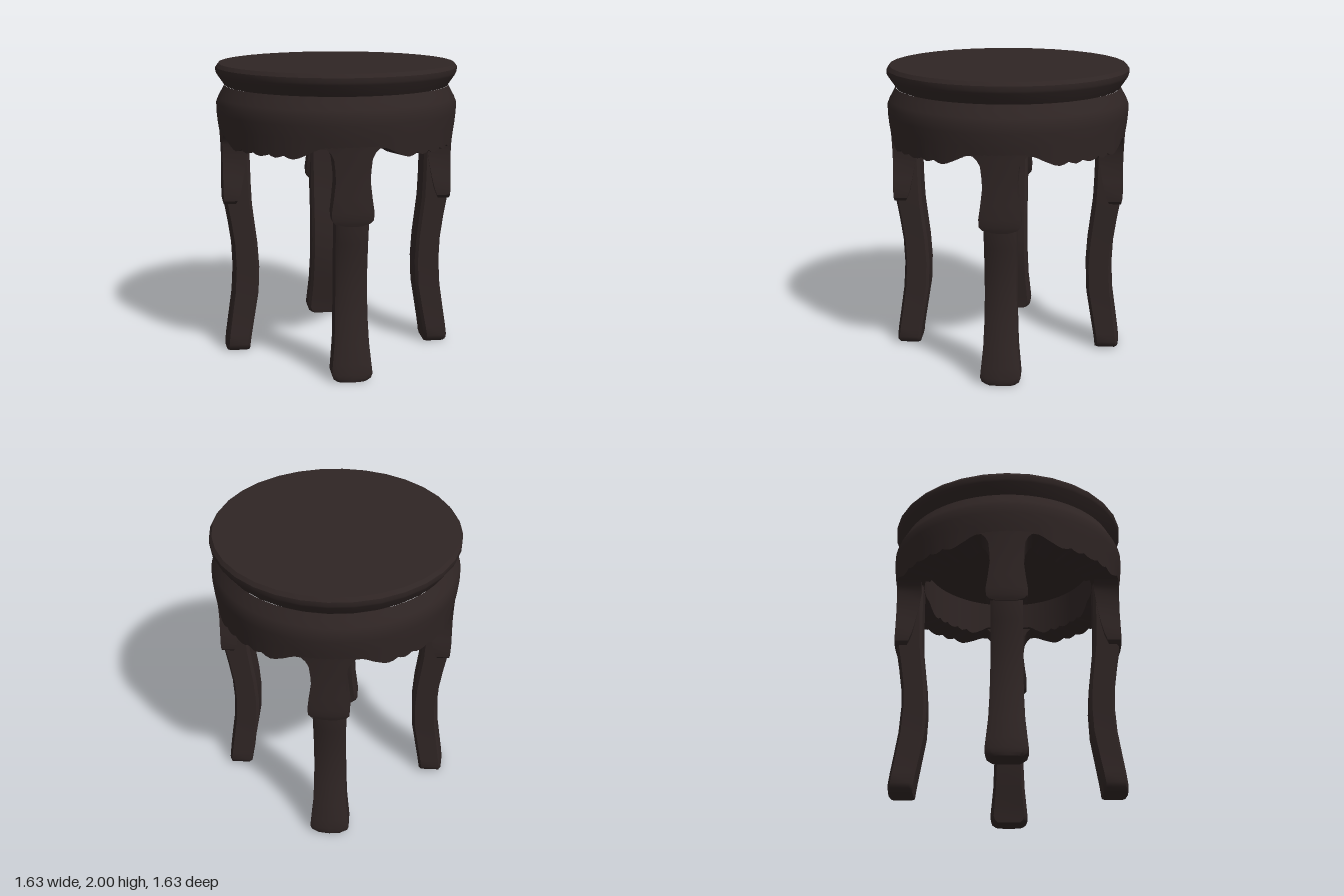
import * as THREE from 'three';
import { mergeVertices, toCreasedNormals } from 'three/addons/utils/BufferGeometryUtils.js';

const CREASE = 0.6;

// Skin a stack of closed rings, listed from the top down, each counter-clockwise seen from above
function loft(rings, capped) {
  const n = rings[0].length, pos = rings.flat(2), index = [];
  for (let i = 0; i < rings.length - 1; i++) {
    for (let j = 0; j < n; j++) {
      const k = (j + 1) % n;
      const a = i * n + j, b = a + n, c = (i + 1) * n + k, d = i * n + k;
      index.push(a, b, c, a, c, d);
    }
  }
  if (capped) {
    const last = (rings.length - 1) * n;
    for (let j = 1; j < n - 1; j++) {
      index.push(0, j, j + 1);
      index.push(last, last + j + 1, last + j);
    }
  }
  const g = new THREE.BufferGeometry();
  g.setAttribute('position', new THREE.Float32BufferAttribute(pos, 3));
  g.setIndex(index);
  return toCreasedNormals(g, CREASE);
}

// Round top with a moulded rim, neck and flat underside
function seatGeometry() {
  const profile = [
    [0, 1.74], [0.62, 1.74], [0.62, 1.855], [0.757, 1.855], [0.808, 1.93],
    [0.815, 1.945], [0.815, 1.975], [0.797, 2], [0, 2],
  ].map(([r, y]) => new THREE.Vector2(r, y));
  const g = new THREE.LatheGeometry(profile, 32);
  g.deleteAttribute('normal');
  g.deleteAttribute('uv');
  return toCreasedNormals(mergeVertices(g), CREASE);
}

// Height of the scalloped lower edge, by degrees away from the nearest leg
const EDGE = [
  [0, 1.535], [15, 1.535], [17.5, 1.522], [20, 1.503], [25, 1.473], [27.5, 1.465],
  [30, 1.471], [32.5, 1.487], [33.75, 1.476], [36.25, 1.467], [38.75, 1.476],
  [40, 1.486], [42.5, 1.472], [45, 1.467],
];
function edgeHeight(deg) {
  let d = deg % 90;
  if (d > 45) d = 90 - d;
  for (let i = 1; i < EDGE.length; i++) {
    const [d0, y0] = EDGE[i - 1], [d1, y1] = EDGE[i];
    if (d <= d1) return y0 + (y1 - y0) * (d - d0) / (d1 - d0);
  }
  return EDGE[EDGE.length - 1][1];
}

// Thick bulging apron; a null height follows the scalloped edge
function apronGeometry() {
  const rows = [
    [0.757, 1.855], [0.775, 1.82], [0.8, 1.775], [0.814, 1.74], [0.814, 1.68],
    [0.806, 1.6], [0.796, null], [0.6, null], [0.6, 1.735],
  ];
  const columns = 288;
  return loft(rows.map(([r, y]) => Array.from({ length: columns }, (_, j) => {
    const deg = j * 360 / columns, t = deg * Math.PI / 180;
    return [r * Math.sin(t), y ?? edgeHeight(deg), r * Math.cos(t)];
  })), false);
}

// Tongue of the apron over the leg top: height, half width, outer and inner radius
function tongueGeometry() {
  const rows = [
    [1.56, 0.2, 0.799, 0.61], [1.535, 0.168, 0.797, 0.61], [1.51, 0.142, 0.796, 0.61],
    [1.47, 0.121, 0.794, 0.61], [1.4, 0.113, 0.792, 0.62], [1.33, 0.109, 0.791, 0.63],
    [1.22, 0.122, 0.793, 0.65], [1.13, 0.135, 0.795, 0.67], [1.08, 0.132, 0.793, 0.69],
    [1.058, 0.112, 0.788, 0.7], [1.04, 0.05, 0.782, 0.71],
  ];
  return loft(rows.map(([y, w, outer, inner]) => {
    const a = Math.asin(w / outer), ring = [];
    for (let i = -4; i <= 4; i++) {
      const t = a * i / 4;
      ring.push([outer * Math.sin(t), y, outer * Math.cos(t)]);
    }
    ring.push([w, y, inner], [-w, y, inner]);
    return ring;
  }), true);
}

// S-curved leg flaring into a foot: height, half width, outer and inner radius
function legGeometry() {
  const rows = [
    [1.74, 0.105, 0.77, 0.602], [1.4, 0.105, 0.775, 0.602], [1.2, 0.105, 0.778, 0.598],
    [1.05, 0.105, 0.78, 0.592], [0.92, 0.104, 0.758, 0.577], [0.77, 0.103, 0.737, 0.559],
    [0.6, 0.103, 0.73, 0.549], [0.42, 0.106, 0.741, 0.557], [0.25, 0.113, 0.766, 0.586],
    [0.12, 0.126, 0.785, 0.609], [0.05, 0.133, 0.793, 0.62], [0.02, 0.122, 0.793, 0.622],
    [0, 0.095, 0.788, 0.625],
  ];
  return loft(rows.map(([y, w, outer, inner]) => [
    [-w, y, outer - 0.025], [-0.75 * w, y, outer - 0.008], [0, y, outer],
    [0.75 * w, y, outer - 0.008], [w, y, outer - 0.025],
    [w, y, inner + 0.02], [0.82 * w, y, inner], [-0.82 * w, y, inner], [-w, y, inner + 0.02],
  ]), true);
}

export function createModel() {
  const model = new THREE.Group();
  model.name = 'stool';
  const wood = new THREE.MeshStandardMaterial({ color: 0x2f2524 });
  wood.name = 'darkWood';

  const add = (parent, name, geometry) => {
    const mesh = new THREE.Mesh(geometry, wood);
    mesh.name = name;
    parent.add(mesh);
  };
  add(model, 'seat', seatGeometry());
  add(model, 'apron', apronGeometry());

  // Four equal legs, one on each axis
  const leg = legGeometry(), tongue = tongueGeometry();
  ['front', 'left', 'back', 'right'].forEach((side, i) => {
    const group = new THREE.Group();
    group.name = side + 'Leg';
    add(group, side + 'LegPost', leg);
    add(group, side + 'LegTongue', tongue);
    group.rotation.y = i * Math.PI / 2;
    model.add(group);
  });
  return model;
}
